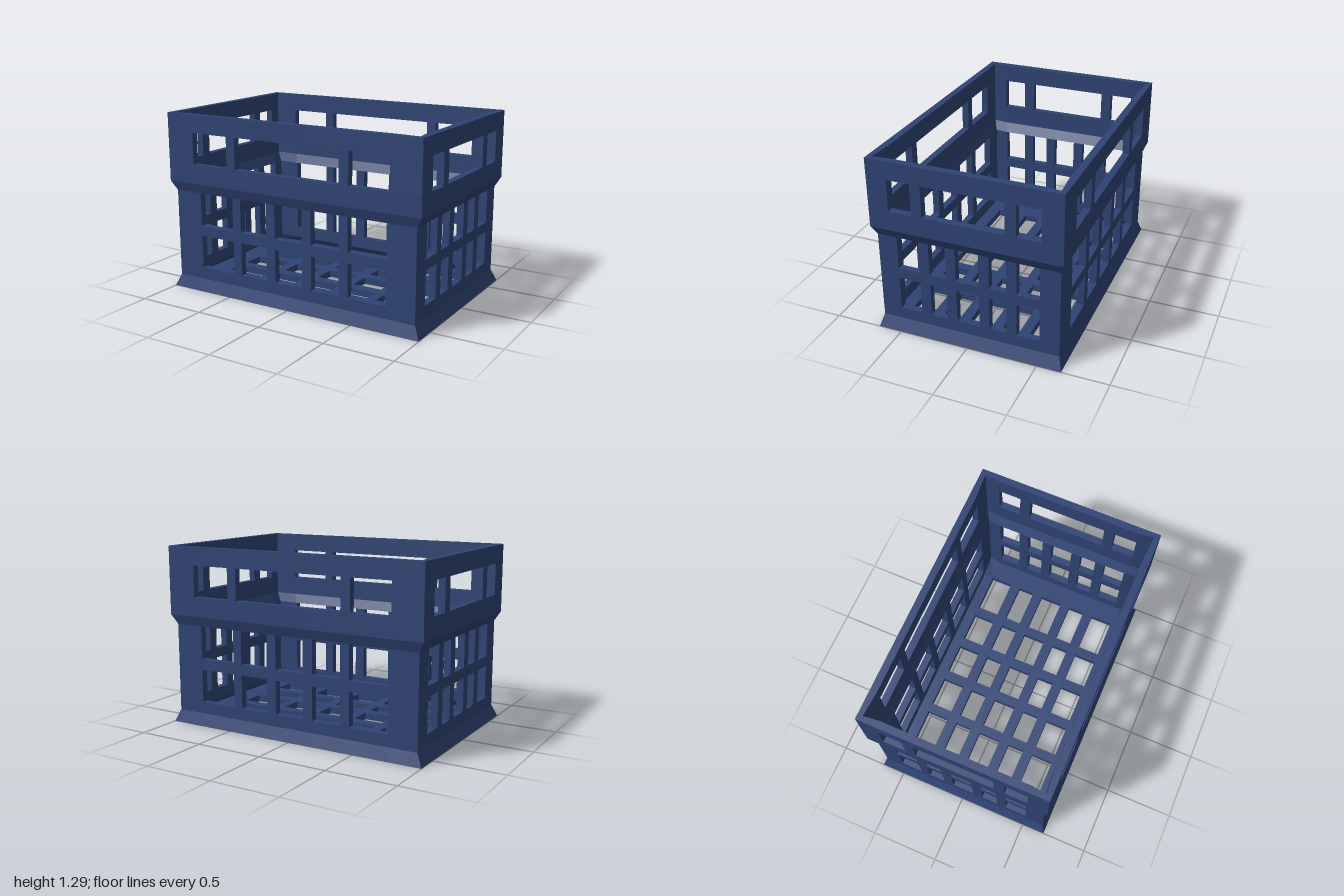
import * as THREE from 'three';

const W = 1, D = 0.67;              // half width and half depth
const CORNER = 0.037, WALL = 0.05;  // wall thickness at the corners and between them

// Grid lines, mirrored about the centre: every odd cell is a window
const mirrored = (half) => [...half.map((v) => -v), ...half.slice().reverse()];
const XS = mirrored([W, 0.78, 0.485, 0.415, 0.19, 0.115]);
const ZS = mirrored([D, 0.525, 0.36, 0.285, 0.16, 0.085]);

// Wall levels: height and outline scale (flared foot, narrower body, wide rim)
const ROWS = [
  [0, 1], [0.09, 0.96], [0.175, 0.96], [0.415, 0.96], [0.49, 0.96],
  [0.73, 0.96], [0.8, 1], [0.94, 1], [1.165, 1], [1.295, 1],
];

// Thick grid panel with window openings; outer and inner give its two skins
function panel(nu, nv, isHole, outer, inner, openTop) {
  const pos = [];
  const quad = (a, b, c, d) => pos.push(...a, ...b, ...c, ...a, ...c, ...d);
  for (let i = 0; i < nu; i++) {
    for (let j = 0; j < nv; j++) {
      if (isHole(i, j)) continue;
      const c = [[i, j], [i + 1, j], [i + 1, j + 1], [i, j + 1]];
      quad(...c.map((p) => outer(...p)));
      quad(...c.map((p) => inner(...p)).reverse());
      // Reveals around the windows, and the rim on the top edge
      [[0, -1], [1, 0], [0, 1], [-1, 0]].forEach(([di, dj], k) => {
        const ni = i + di, nj = j + dj;
        const inside = ni >= 0 && ni < nu && nj >= 0 && nj < nv;
        if (inside ? !isHole(ni, nj) : !(openTop && nj === nv)) return;
        const p = c[k], q = c[(k + 1) % 4];
        quad(outer(...q), outer(...p), inner(...p), inner(...q));
      });
    }
  }
  const g = new THREE.BufferGeometry();
  g.setAttribute('position', new THREE.Float32BufferAttribute(pos, 3));
  g.computeVertexNormals();
  return g;
}

// Wall facing +z: two rows of five windows, then one row with a wide hand hole
function wallGeometry(us, depth) {
  const n = us.length - 1;
  const isEnd = (i) => i === 0 || i === n;
  const isHole = (i, j) => {
    if (j === 2 || j === 4) return i % 2 === 1;
    return j === 7 && (i === 1 || i === n - 2 || (i >= 3 && i <= n - 4));
  };
  const outer = (i, j) => [us[i] * ROWS[j][1], ROWS[j][0], depth * ROWS[j][1]];
  const inner = (i, j) => {
    const [y, s] = ROWS[j];
    const t = isEnd(i) ? CORNER : WALL;
    const u = isEnd(i) ? us[i] - Math.sign(us[i]) * CORNER : us[i];
    return [u * s, j === 0 ? t : y, depth * s - t];
  };
  return panel(n, ROWS.length - 1, isHole, outer, inner, true);
}

// Floor: five by five openings
function floorGeometry() {
  const n = XS.length - 1;
  const isEnd = (i) => i === 0 || i === n;
  const outer = (i, j) => [XS[i], 0, ZS[j]];
  const inner = (i, j) => {
    const t = isEnd(i) && isEnd(j) ? CORNER : WALL;
    return [
      isEnd(i) ? XS[i] - Math.sign(XS[i]) * t : XS[i],
      t,
      isEnd(j) ? ZS[j] - Math.sign(ZS[j]) * t : ZS[j],
    ];
  };
  return panel(n, n, (i, j) => i % 2 === 1 && j % 2 === 1, outer, inner, false);
}

export function createModel() {
  const crate = new THREE.Group();
  crate.name = 'crate';
  const plastic = new THREE.MeshStandardMaterial({ color: 0x2f4373, flatShading: true });
  const add = (name, geometry, turn = 0) => {
    const mesh = new THREE.Mesh(geometry, plastic);
    mesh.name = name;
    mesh.rotation.y = turn;
    crate.add(mesh);
  };

  const longWall = wallGeometry(XS, D);
  const shortWall = wallGeometry(ZS, W);
  add('frontWall', longWall);
  add('backWall', longWall, Math.PI);
  add('leftWall', shortWall, Math.PI / 2);
  add('rightWall', shortWall, -Math.PI / 2);
  add('floor', floorGeometry());
  return crate;
}
